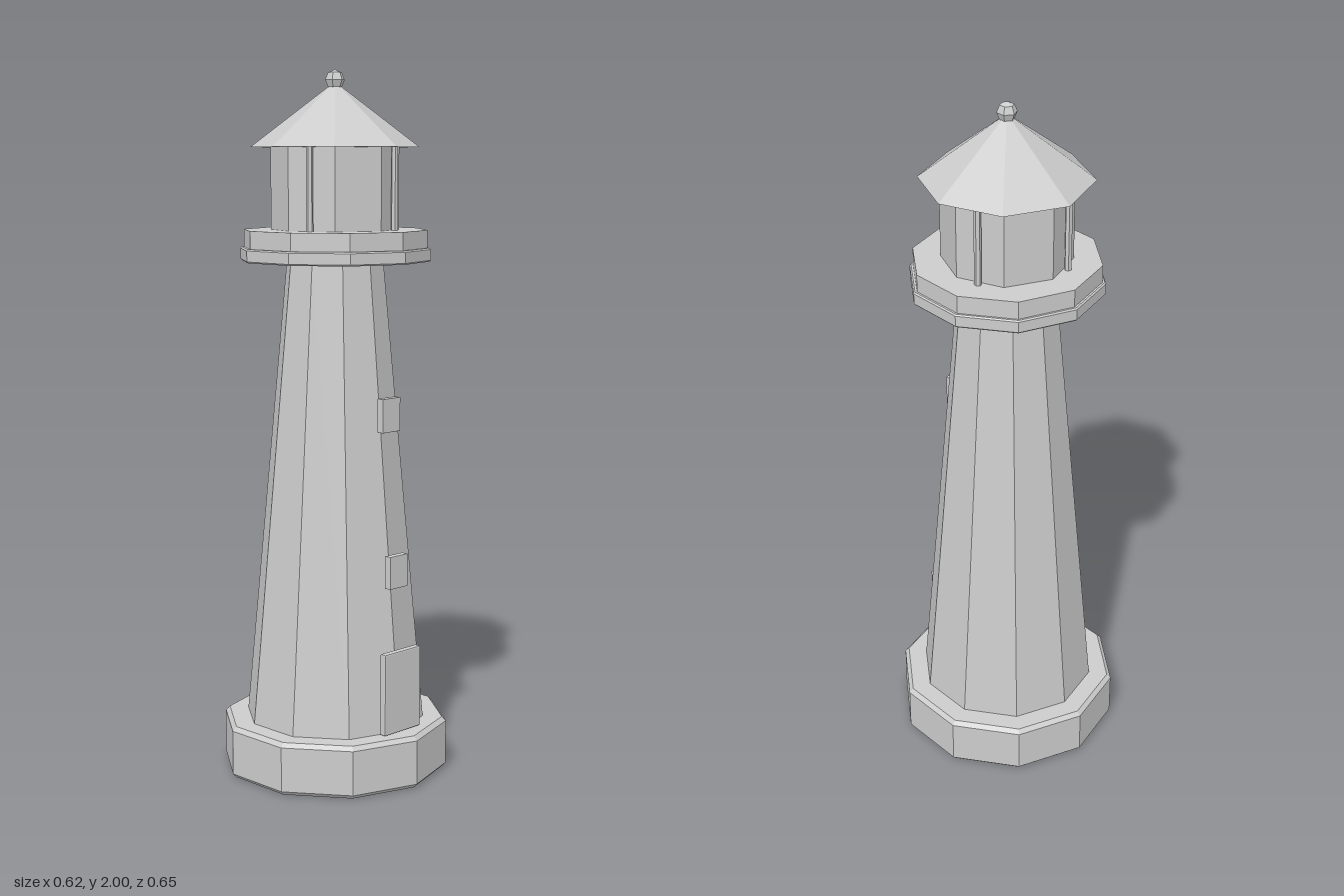
import * as THREE from 'three';
import { RoundedBoxGeometry } from 'three/addons/geometries/RoundedBoxGeometry.js';

const stone = new THREE.MeshStandardMaterial({ color: 0xcccccc });
stone.name = 'pale grey stone';

// Faceted mesh with one normal per face
function facet(name, geometry) {
  const flat = geometry.index ? geometry.toNonIndexed() : geometry;
  flat.computeVertexNormals();
  const mesh = new THREE.Mesh(flat, stone);
  mesh.name = name;
  return mesh;
}

// Many-sided solid from [radius, height] pairs, listed bottom to top
function turned(name, sides, profile) {
  const points = profile.map(([r, y]) => new THREE.Vector2(r, y));
  return facet(name, new THREE.LatheGeometry(points, sides));
}

// Bevelled panel on the front, given its bottom, top and front z
function panel(name, width, bottom, top, front, bevel) {
  const depth = 0.021;
  const mesh = facet(name, new RoundedBoxGeometry(width, top - bottom, depth, 1, bevel));
  mesh.position.set(0, (bottom + top) / 2, front - depth / 2);
  return mesh;
}

export function createModel() {
  const model = new THREE.Group();
  model.name = 'lighthouse';

  // Plinth and tapering ten-sided tower
  model.add(turned('base', 10, [
    [0, 0], [0.315, 0], [0.327, 0.012], [0.327, 0.139], [0.315, 0.151], [0, 0.151],
  ]));
  model.add(turned('tower', 10, [[0, 0.14], [0.26, 0.14], [0.137, 1.48], [0, 1.48]]));

  // Gallery: deck slab with a slightly narrower kerb on top
  model.add(turned('galleryDeck', 10, [
    [0, 1.47], [0.268, 1.47], [0.272, 1.474], [0.272, 1.504], [0.268, 1.508], [0, 1.508],
  ]));
  model.add(turned('galleryKerb', 10, [[0, 1.505], [0.262, 1.505], [0.262, 1.558], [0, 1.558]]));

  // Lantern room with four posts centred on alternate faces
  model.add(turned('lanternRoom', 8, [[0, 1.55], [0.18, 1.55], [0.18, 1.79], [0, 1.79]]));
  for (let i = 0; i < 4; i++) {
    const angle = Math.PI / 8 + i * Math.PI / 2;
    const post = facet('lanternPost', new THREE.CylinderGeometry(0.01, 0.01, 0.24, 6));
    post.position.set(0.179 * Math.sin(angle), 1.67, 0.179 * Math.cos(angle));
    post.rotation.y = angle;
    model.add(post);
  }

  // Roof and ball finial
  model.add(turned('roof', 8, [[0, 1.787], [0.237, 1.787], [0, 1.967]]));
  const finial = facet('finial', new THREE.SphereGeometry(0.028, 6, 4));
  finial.position.y = 1.972;
  finial.rotation.y = Math.PI / 2;
  model.add(finial);

  // Door and windows
  model.add(panel('door', 0.145, 0.155, 0.39, 0.272, 0.004));
  model.add(panel('lowerWindow', 0.07, 0.567, 0.66, 0.254, 0.001));
  model.add(panel('upperWindow', 0.07, 1.005, 1.1, 0.223, 0.001));

  return model;
}
